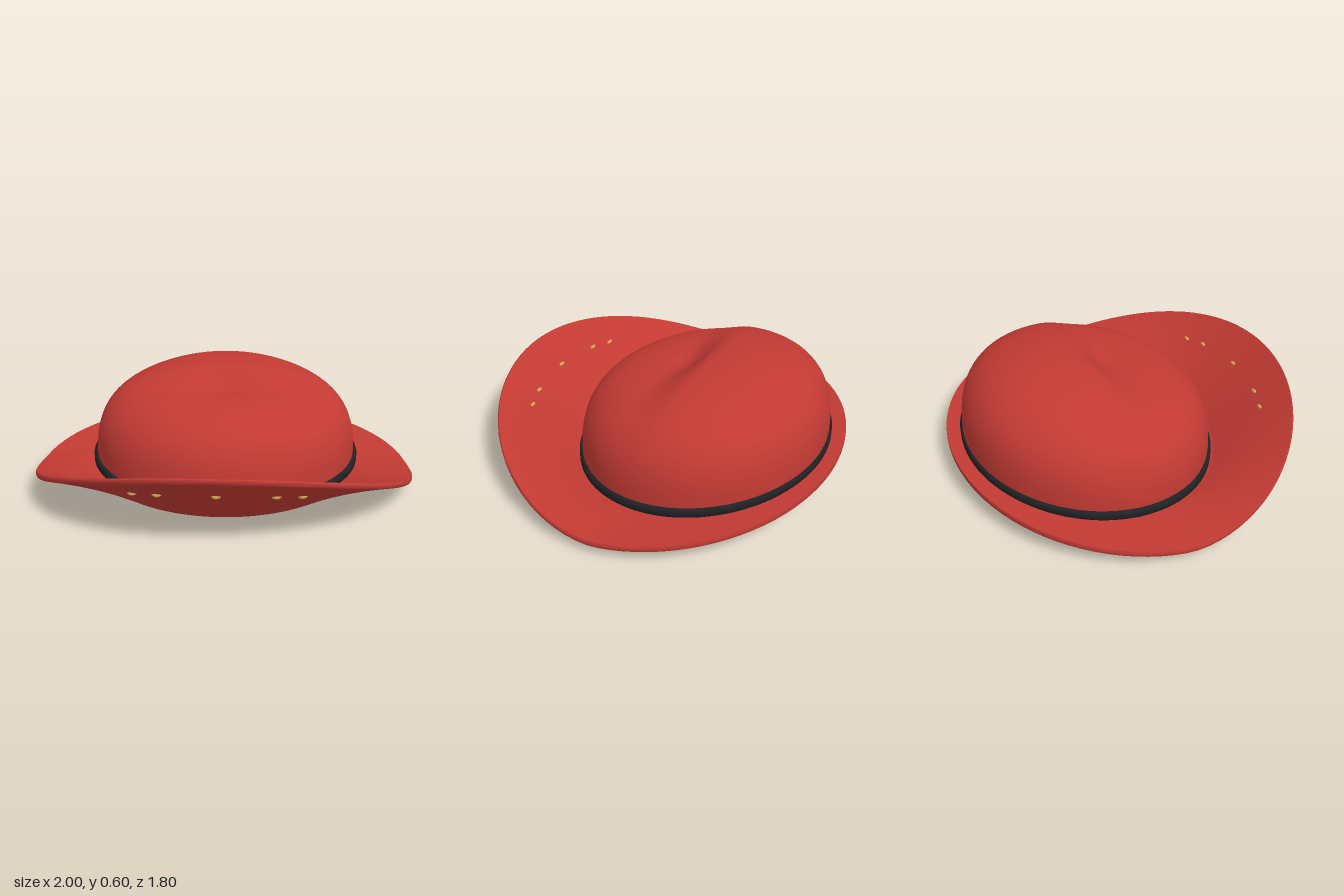
import * as THREE from 'three';
import { toCreasedNormals } from 'three/addons/utils/BufferGeometryUtils.js';

const SEG = 96;
const CZ = -0.18; // centre of the crown in z

// Tilted plane the hat body rests on
const base = (z) => 0.042 - 0.087 * z;

// Closed loop around the hat: point(theta, j) gives [x, y, z], theta = 0 is the front
function loft(rows, closed, point) {
  const pos = [], index = [];
  for (let j = 0; j < rows; j++)
    for (let i = 0; i < SEG; i++) pos.push(...point((i / SEG) * Math.PI * 2, j));
  for (let j = 0; j < (closed ? rows : rows - 1); j++)
    for (let i = 0; i < SEG; i++) {
      const i2 = (i + 1) % SEG, j2 = (j + 1) % rows;
      const a = j * SEG + i, b = j * SEG + i2, c = j2 * SEG + i2, d = j2 * SEG + i;
      index.push(a, b, c, a, c, d);
    }
  const g = new THREE.BufferGeometry();
  g.setAttribute('position', new THREE.Float32BufferAttribute(pos, 3));
  g.setIndex(index);
  g.computeVertexNormals();
  return g;
}

// Brim surface: t runs from the head opening (0) to the outer edge (1)
function brimPoint(th, t, up) {
  const s = Math.sin(th), c = Math.cos(th);
  const x = s * (0.69 + 0.31 * t);
  const z = (1 - t) * (CZ + 0.62 * c) + t * 0.9 * c;
  // the edge sweeps up towards the front
  const lift = 0.395 * Math.pow(Math.max(0, 0.9 * c + 0.1), 1.5);
  const k = Math.max(0, (t - 0.08) / 0.92);
  return [x, base(z) + lift * k + up, z];
}

// Dome height above the base plane, with a raised back and a small dimple
function crownTop(x, z) {
  const rise = THREE.MathUtils.smoothstep(-z, 0, 0.22);
  const bump = 0.085 * rise * Math.exp(-((x / 0.5) ** 2)) * Math.exp(-(((z + 0.25) / 0.5) ** 2));
  const dimple = 0.03 * Math.exp(-((x / 0.16) ** 2) - ((z + 0.1) / 0.09) ** 2);
  return 0.42 + bump - dimple;
}

export function createModel() {
  const hat = new THREE.Group();
  hat.name = 'hat';
  const red = new THREE.MeshStandardMaterial({ color: 0xc23a33, side: THREE.DoubleSide });
  const dark = new THREE.MeshStandardMaterial({ color: 0x1f2124 });
  const gold = new THREE.MeshStandardMaterial({ color: 0xd0a850 });
  const add = (name, geo, mat) => {
    const m = new THREE.Mesh(geo, mat);
    m.name = name;
    hat.add(m);
    return m;
  };

  // Brim: underside, rounded lip, top side
  const section = [];
  const steps = [0, 0.04, 0.08, 0.14, 0.25, 0.4, 0.55, 0.7, 0.85, 0.95, 0.985];
  steps.forEach((t) => section.push([t, 0]));
  section.push([0.997, 0.007], [1, 0.015], [0.997, 0.023]);
  [...steps].reverse().forEach((t) => section.push([t, 0.03]));
  const brim = loft(section.length, true, (th, j) => brimPoint(th, ...section[j]));
  add('brim', toCreasedNormals(brim, 1), red);

  // Crown: open dome
  const rows = 44;
  const crown = loft(rows, false, (th, j) => {
    const s = j / (rows - 1);
    let r, f;
    if (s < 0.4) {
      f = (s / 0.4) * 0.85;
      r = Math.pow(1 - f ** 3, 0.25);
    } else {
      r = Math.max(0.001, 0.788 * (1 - (s - 0.4) / 0.6));
      f = Math.pow(1 - r ** 4, 1 / 3);
    }
    const x = 0.71 * r * Math.sin(th), z = CZ + 0.64 * r * Math.cos(th);
    return [x, base(z) + 0.028 + f * crownTop(x, z), z];
  });
  add('crown', crown, red);

  // Hat band around the foot of the crown
  const bandSection = [[0.96, 0.03], [0.99, 0.03], [1, 0.038], [1, 0.068], [0.99, 0.076], [0.96, 0.076]];
  const band = loft(bandSection.length, true, (th, j) => {
    const [r, up] = bandSection[j];
    const z = CZ + 0.653 * r * Math.cos(th);
    return [0.73 * r * Math.sin(th), base(z) + up, z];
  });
  add('hatBand', toCreasedNormals(band, 0.9), dark);

  // Studs through the raised front of the brim
  const studGeo = new THREE.SphereGeometry(1, 16, 10);
  [-0.446, -0.304, 0, 0.304, 0.446].forEach((th) => {
    const stud = add('stud', studGeo, gold);
    stud.position.set(...brimPoint(th, 0.68, 0.013));
    stud.scale.set(0.027, 0.022, 0.012);
    stud.rotation.x = -0.72;
  });

  return hat;
}
